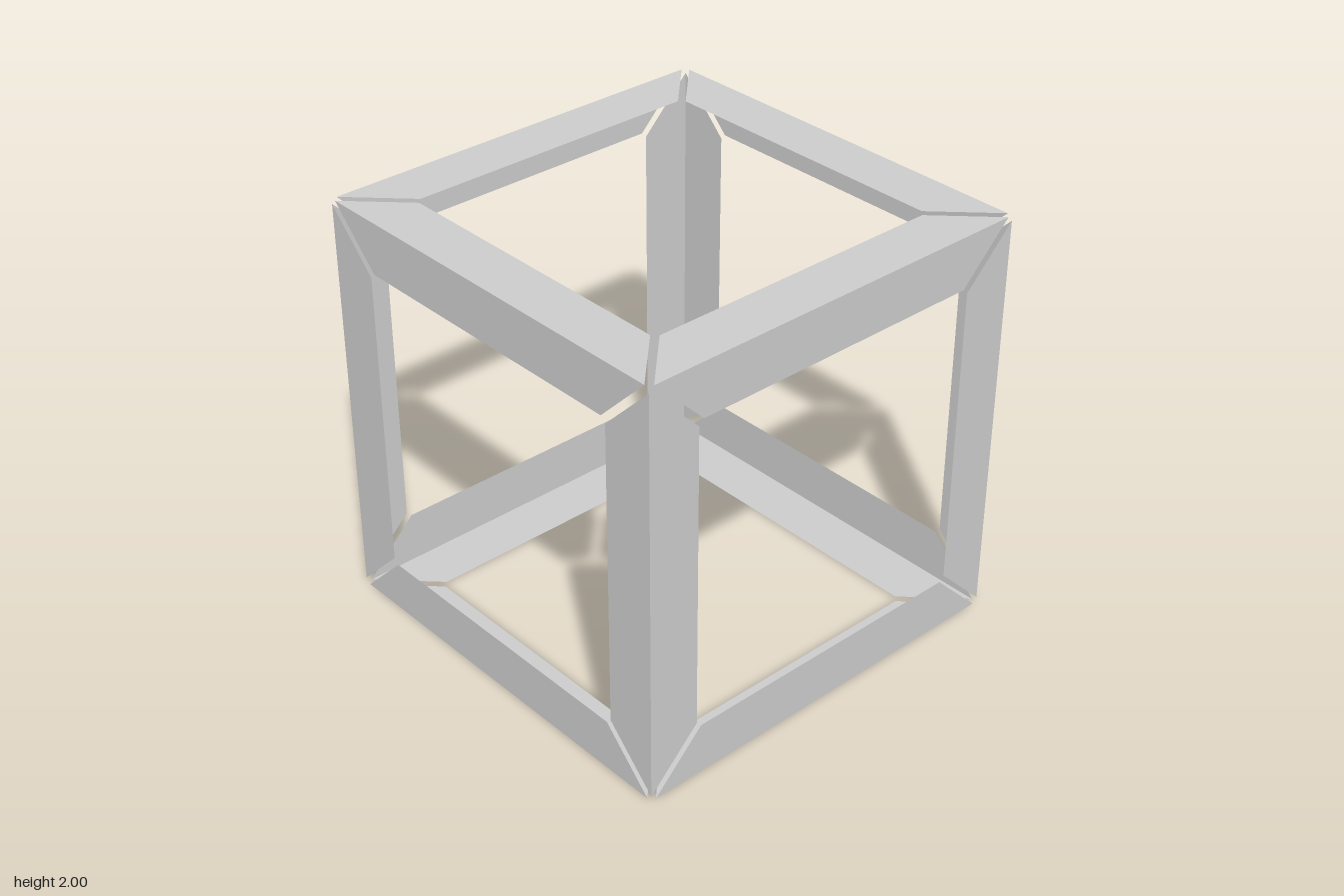
import * as THREE from 'three';

const LEG = 0.25;  // width of each flange
const HALF = 0.975; // half length of the outer ridge, leaving a gap at the corners

// Thin right-angle profile along x, ridge at y = z = 1, both flanges mitred at 45 degrees
function angleBeamGeometry() {
  const inner = 1 - LEG, short = HALF - LEG;
  const geometry = new THREE.BufferGeometry();
  geometry.setAttribute('position', new THREE.Float32BufferAttribute([
    // top flange
    -HALF, 1, 1, HALF, 1, 1, short, 1, inner, -short, 1, inner,
    // front flange
    -short, inner, 1, short, inner, 1, HALF, 1, 1, -HALF, 1, 1,
  ], 3));
  geometry.setIndex([0, 1, 2, 0, 2, 3, 4, 5, 6, 4, 6, 7]);
  geometry.computeVertexNormals();
  return geometry;
}

export function createModel() {
  const model = new THREE.Group();
  model.name = 'cubeFrame';
  const material = new THREE.MeshStandardMaterial({
    color: 0xcccccc, flatShading: true, side: THREE.DoubleSide,
  });
  const geometry = angleBeamGeometry();

  // Four parallel beams for each of the three axes
  const sets = [
    ['crossBeams', 0, 0],
    ['uprights', 0, Math.PI / 2],
    ['depthBeams', Math.PI / 2, 0],
  ];
  for (const [name, ry, rz] of sets) {
    const set = new THREE.Group();
    set.name = name;
    set.rotation.set(0, ry, rz);
    set.position.y = 1;
    for (let i = 0; i < 4; i++) {
      const beam = new THREE.Mesh(geometry, material);
      beam.name = 'angleBeam';
      beam.rotation.x = (i * Math.PI) / 2;
      set.add(beam);
    }
    model.add(set);
  }
  return model;
}
